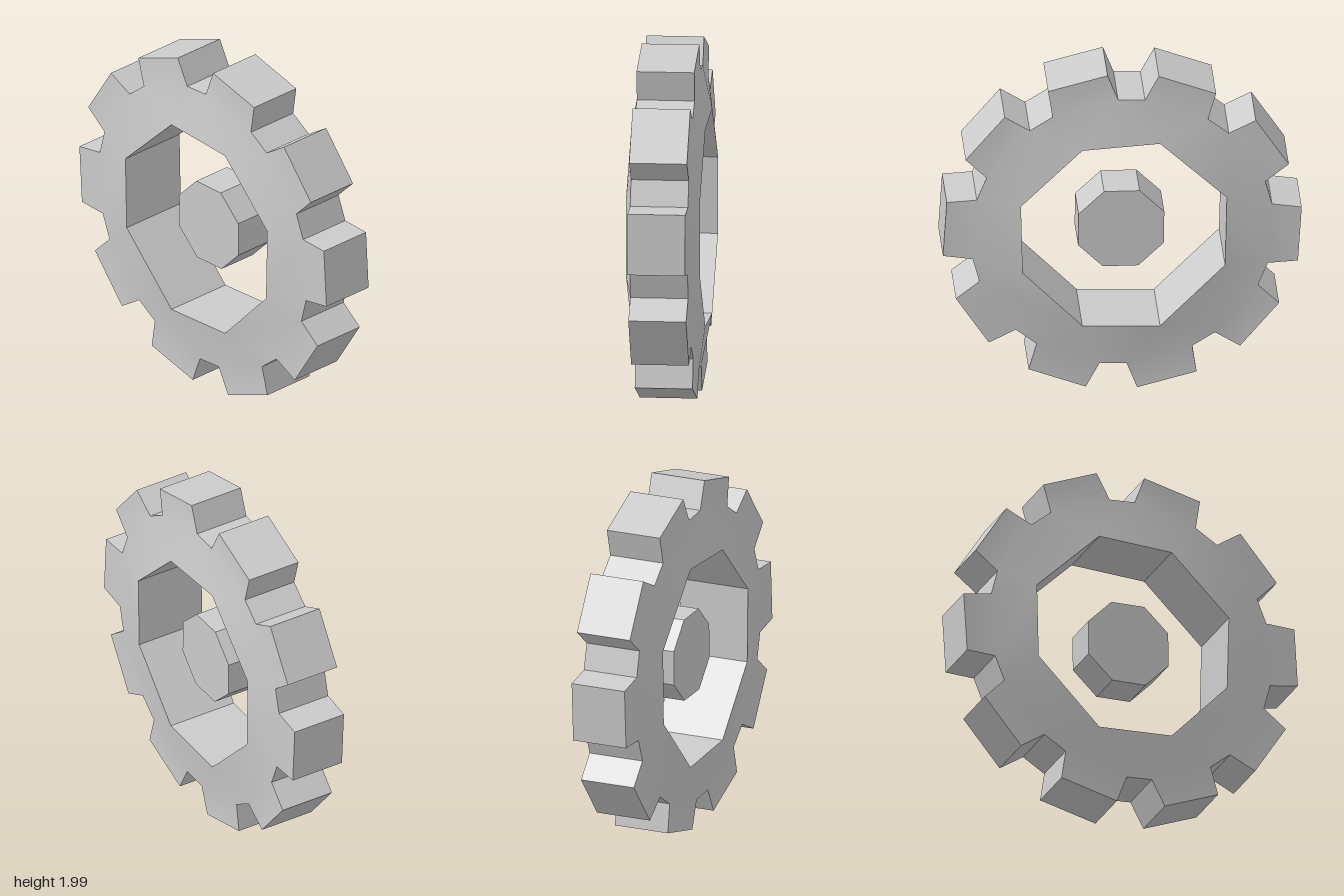
import * as THREE from 'three';
import { toCreasedNormals } from 'three/addons/utils/BufferGeometryUtils.js';

const TEETH = 10;
const RIM_Z = 0.16;   // half thickness at the teeth
const BORE_Z = 0.205; // half thickness at the central opening
const CX = -0.005;

const polar = (r, deg, z) => {
  const a = THREE.MathUtils.degToRad(deg);
  return new THREE.Vector3(CX + r * Math.cos(a), 1 + r * Math.sin(a), z);
};
const flip = (p) => new THREE.Vector3(p.x, p.y, -p.z);

function gearGeometry() {
  const verts = [];
  const tri = (a, b, c) => { for (const p of [a, b, c]) verts.push(p.x, p.y, p.z); };
  // the same face on the front and, mirrored, on the back
  const faces = (a, b, c) => { tri(a, b, c); tri(flip(a), flip(c), flip(b)); };
  // wall from front to back below the edge a-b
  const wall = (a, b) => {
    tri(flip(a), flip(b), b);
    tri(flip(a), b, a);
  };

  // octagonal opening, slightly uneven
  const bore = [[0.56, 1.21], [0.22, 1.55], [-0.21, 1.575], [-0.58, 1.215],
    [-0.57, 0.785], [-0.21, 0.415], [0.22, 0.435], [0.55, 0.785]]
    .map(([x, y]) => new THREE.Vector3(x, y, BORE_Z));

  // teeth
  const roots = [], outline = [];
  for (let k = 0; k < TEETH; k++) {
    const mid = 3.5 + k * 360 / TEETH;
    const r0 = polar(0.84, mid - 12.9, RIM_Z), r1 = polar(0.84, mid + 12.9, RIM_Z);
    const t0 = polar(0.999, mid - 9.8, RIM_Z), t1 = polar(0.999, mid + 9.8, RIM_Z);
    faces(r0, t0, t1);
    faces(r0, t1, r1);
    roots.push(r0, r1);
    outline.push(r0, t0, t1, r1);
  }
  outline.forEach((p, i) => wall(p, outline[(i + 1) % outline.length]));
  bore.forEach((p, i) => wall(bore[(i + 1) % bore.length], p));

  // sloping ring between the tooth roots and the opening
  const nearest = (p) => bore.reduce((m, q) => (q.distanceTo(p) < m.distanceTo(p) ? q : m));
  roots.forEach((p, i) => {
    const next = roots[(i + 1) % roots.length];
    const n0 = nearest(p), n1 = nearest(next);
    faces(p, next, n0);
    if (n0 !== n1) faces(next, n1, n0);
  });

  const geo = new THREE.BufferGeometry();
  geo.setAttribute('position', new THREE.Float32BufferAttribute(verts, 3));
  return toCreasedNormals(geo, THREE.MathUtils.degToRad(30));
}

export function createModel() {
  const group = new THREE.Group();
  group.name = 'gear';
  const material = new THREE.MeshStandardMaterial({ color: 0xcccccc });

  const rim = new THREE.Mesh(gearGeometry(), material);
  rim.name = 'toothedRing';
  group.add(rim);

  // free-standing octagonal hub
  const hubGeo = new THREE.CylinderGeometry(0.257, 0.257, 0.235, 8);
  hubGeo.rotateY(THREE.MathUtils.degToRad(23.3)).rotateX(Math.PI / 2);
  const hub = new THREE.Mesh(toCreasedNormals(hubGeo, 0.5), material);
  hub.name = 'hub';
  hub.position.set(-0.002, 0.995, 0);
  group.add(hub);

  return group;
}
